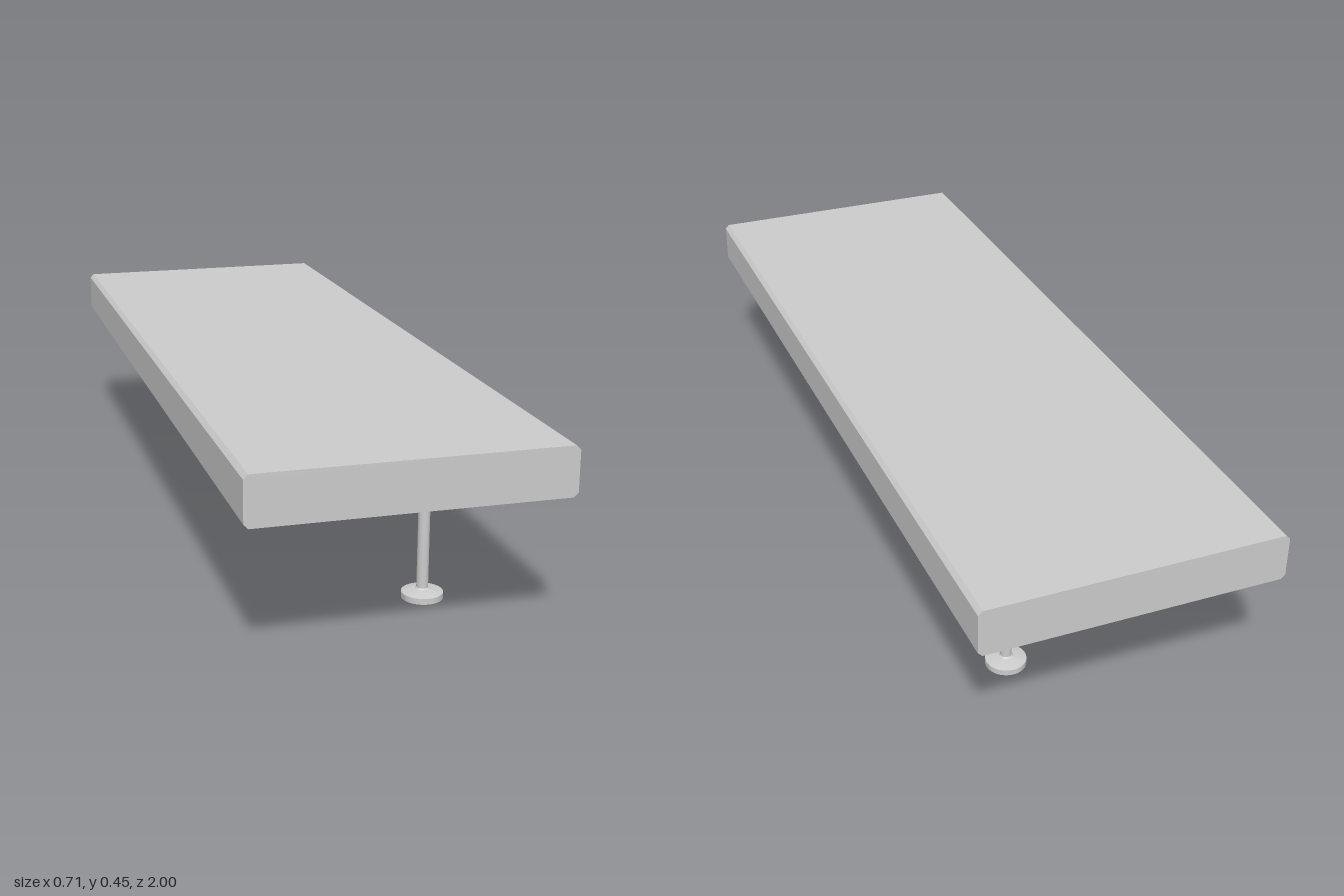
import * as THREE from 'three';
import { toCreasedNormals } from 'three/addons/utils/BufferGeometryUtils.js';

const material = new THREE.MeshStandardMaterial({ color: 0xcccccc });

// Long slab whose cross-section has small chamfered corners
function createSlab() {
  const w = 0.353, bottom = 0.336, top = 0.448, c = 0.01;
  const section = new THREE.Shape([
    [-w + c, bottom], [w - c, bottom], [w, bottom + c], [w, top - c],
    [w - c, top], [-w + c, top], [-w, top - c], [-w, bottom + c],
  ].map(([x, y]) => new THREE.Vector2(x, y)));
  const geometry = new THREE.ExtrudeGeometry(section, { depth: 2, bevelEnabled: false });
  geometry.translate(0, 0, -1);
  const slab = new THREE.Mesh(geometry, material);
  slab.name = 'slab';
  return slab;
}

// Thin round post standing on a disc foot with a sloped upper face
function createLeg(name, z) {
  const leg = new THREE.Group();
  leg.name = name;

  const post = new THREE.Mesh(new THREE.CylinderGeometry(0.0135, 0.0135, 0.325, 32), material);
  post.name = 'post';
  post.position.y = 0.1775;

  const profile = [[0, 0], [0.048, 0], [0.048, 0.014], [0.0165, 0.022], [0.0135, 0.025], [0, 0.025]]
    .map(([r, y]) => new THREE.Vector2(r, y));
  const foot = new THREE.Mesh(toCreasedNormals(new THREE.LatheGeometry(profile, 32), 0.4), material);
  foot.name = 'foot';

  leg.add(post, foot);
  leg.position.set(0.145, 0, z);
  return leg;
}

export function createModel() {
  const model = new THREE.Group();
  model.name = 'table';
  model.add(createSlab(), createLeg('frontLeg', 0.668), createLeg('backLeg', -0.668));
  return model;
}
